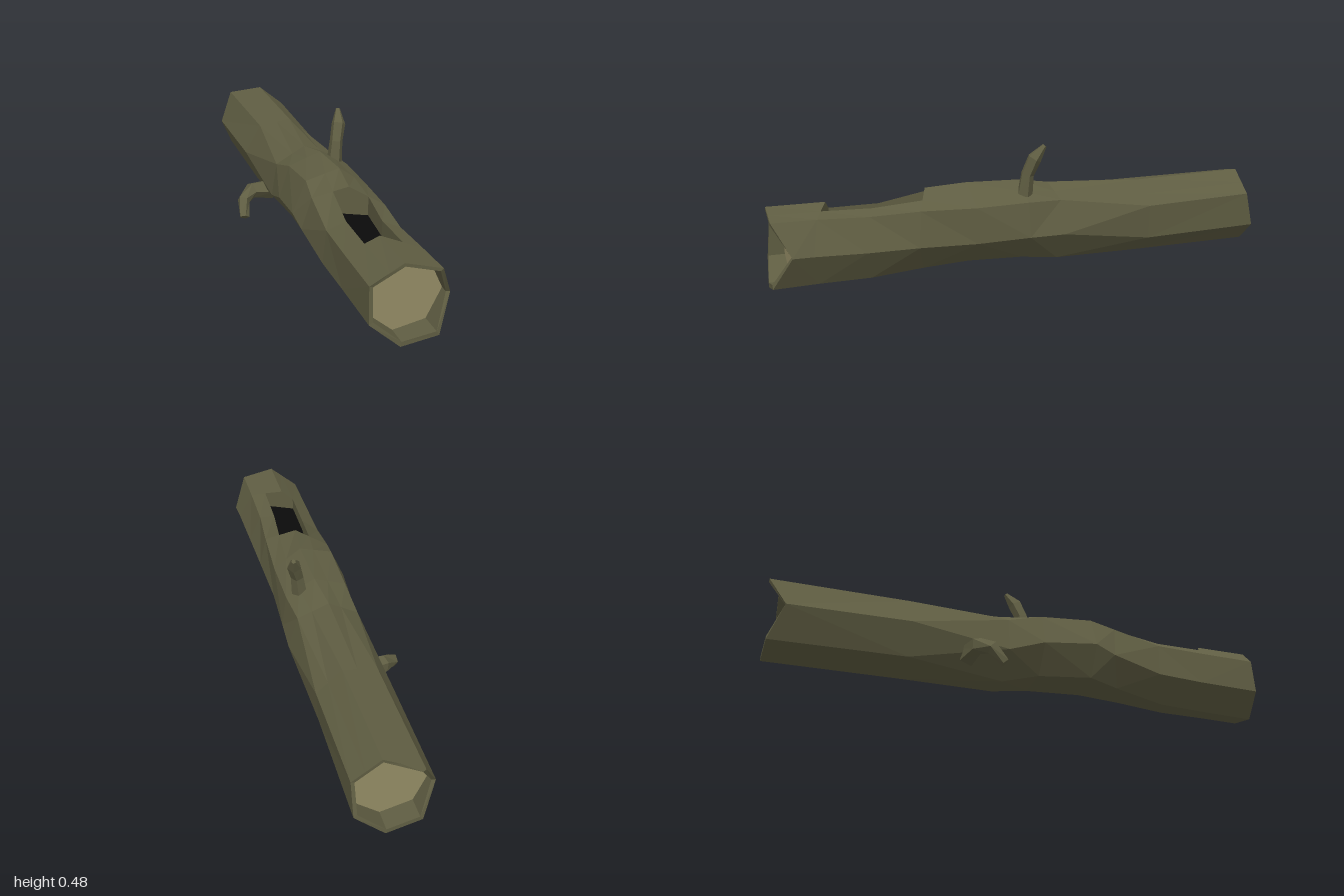
import * as THREE from 'three';

function paint(name, color) {
  const m = new THREE.MeshStandardMaterial({ color });
  m.name = name;
  return m;
}
const bark = paint('bark', 0x5f5d42);
const wood = paint('cut wood', 0x928a64);
const dark = paint('hollow dark', 0x0a0a0a);

const V = (x, y, z) => new THREE.Vector3(x, y, z);
const centre = loop => loop.reduce((s, p) => s.add(p), V(0, 0, 0)).divideScalar(loop.length);

// Faceted mesh from a list of triangle corners
function facets(name, points, material) {
  const g = new THREE.BufferGeometry().setFromPoints(points);
  g.computeVertexNormals();
  const mesh = new THREE.Mesh(g, material);
  mesh.name = name;
  return mesh;
}

// Two triangles, split along the shorter diagonal
const quad = (a, b, c, d) => a.distanceTo(c) < b.distanceTo(d) ? [a, b, c, a, c, d] : [a, b, d, b, c, d];

// Joins successive closed loops with quads; skip(ring, column) leaves openings
function skin(rings, skip = () => false) {
  const out = [];
  for (let r = 0; r < rings.length - 1; r++) {
    const a = rings[r], b = rings[r + 1], n = a.length;
    for (let i = 0; i < n; i++) {
      const j = (i + 1) % n;
      if (!skip(r, i)) out.push(...quad(a[i], a[j], b[j], b[i]));
    }
  }
  return out;
}

function fan(loop) {
  const c = centre(loop);
  return loop.flatMap((p, i) => [c, p, loop[(i + 1) % loop.length]]);
}

// Seven-sided trunk section: centre, radius, angle of its ridge corner, and an
// end-to-end slant; both ridge panels get an extra corner for the hollow's rim
function section([z, x, y, radius, ridge, slant = 0], jag = []) {
  const p = Array.from({ length: 7 }, (_, i) => {
    const a = THREE.MathUtils.degToRad(ridge + (1 - i) * 360 / 7);
    const dx = Math.cos(a) * radius;
    return V(x + dx, y + Math.sin(a) * radius, z + slant * dx + (jag[i] || 0));
  });
  const [left, top, right, ...rest] = p;
  return [left, left.clone().lerp(top, 0.57), top, top.clone().lerp(right, 0.54), right, ...rest];
}

// Tapered, bent limb with a closed tip
function limb(name, path, radii, ref) {
  const pts = path.map(p => V(...p));
  const rings = pts.map((p, k) => {
    const t = pts[Math.min(k + 1, pts.length - 1)].clone().sub(pts[Math.max(k - 1, 0)]).normalize();
    const u = ref.clone().addScaledVector(t, -ref.dot(t)).normalize();
    const v = t.clone().cross(u);
    return Array.from({ length: 5 }, (_, i) => {
      const a = (i / 5) * Math.PI * 2;
      return p.clone().addScaledVector(u, Math.cos(a) * radii[k]).addScaledVector(v, Math.sin(a) * radii[k]);
    });
  });
  return facets(name, [...skin(rings), ...fan(rings[rings.length - 1])], bark);
}

export function createModel() {
  const group = new THREE.Group();
  group.name = 'hollowLog';

  // Trunk sections from front to back, with ragged ends
  const trunk = [
    section([0.97, 0.06, 0.165, 0.151, 102], [-0.01, 0.02, 0.03, -0.03, 0.03, 0.02]),
    section([0.79, 0.057, 0.165, 0.149, 101, 0.5]),
    section([0.6, 0.052, 0.163, 0.147, 98, 0.5]),
    section([0.405, 0.047, 0.185, 0.151, 88, 0.5]),
    section([0.25, 0.043, 0.195, 0.154, 80]),
    section([0.04, 0.05, 0.186, 0.153, 85]),
    section([-0.1, 0.053, 0.163, 0.152, 94]),
    section([-0.48, 0.049, 0.157, 0.151, 73]),
    section([-0.97, 0.052, 0.158, 0.153, 76], [-0.03, 0.02, 0.03, 0, -0.02, -0.02, 0.03]),
  ];

  // Lipped, recessed ends
  const inset = ring => {
    const c = centre(ring);
    return ring.map(p => V(c.x + (p.x - c.x) * 0.9, c.y + (p.y - c.y) * 0.9, p.z));
  };
  const recess = (ring, z) => ring.map(p => V(p.x, p.y, z));
  const front = inset(trunk[0]), back = inset(trunk[8]);
  const frontCut = recess(front, 0.91), backCut = recess(back, -0.91);
  group.add(facets('frontCut', fan([...frontCut].reverse()), wood));
  group.add(facets('backCut', fan(backCut), wood));

  // Bark shell, left open along the ridge for the hollow
  const shell = skin([frontCut, front, ...trunk, back, backCut],
    (r, i) => (r === 3 || r === 4) && (i === 1 || i === 2));
  group.add(facets('trunk', shell, bark));

  // Hollow: bark walls down to a dark floor
  const [h0, h1, h2] = trunk.slice(1, 4);
  const rim = [h0[1], h0[2], h0[3], h1[3], h2[3], h2[2], h2[1], h1[1]];
  const floor = rim.map(p => V(p.x, 0.23, p.z));
  group.add(facets('hollowWalls', skin([rim, floor]), bark));
  group.add(facets('hollowFloor', fan(floor), dark));

  // Broken branches
  group.add(limb('upperBranch',
    [[0.124, 0.29, 0.035], [0.133, 0.37, 0.028], [0.149, 0.432, 0.006], [0.159, 0.48, -0.032]],
    [0.031, 0.026, 0.028, 0.009], V(1, 0, 0)));
  group.add(limb('lowerBranch',
    [[-0.05, 0.085, -0.25], [-0.14, 0.092, -0.238], [-0.185, 0.069, -0.198], [-0.195, 0.013, -0.152]],
    [0.042, 0.033, 0.026, 0.02], V(0, 0, 1)));

  return group;
}
